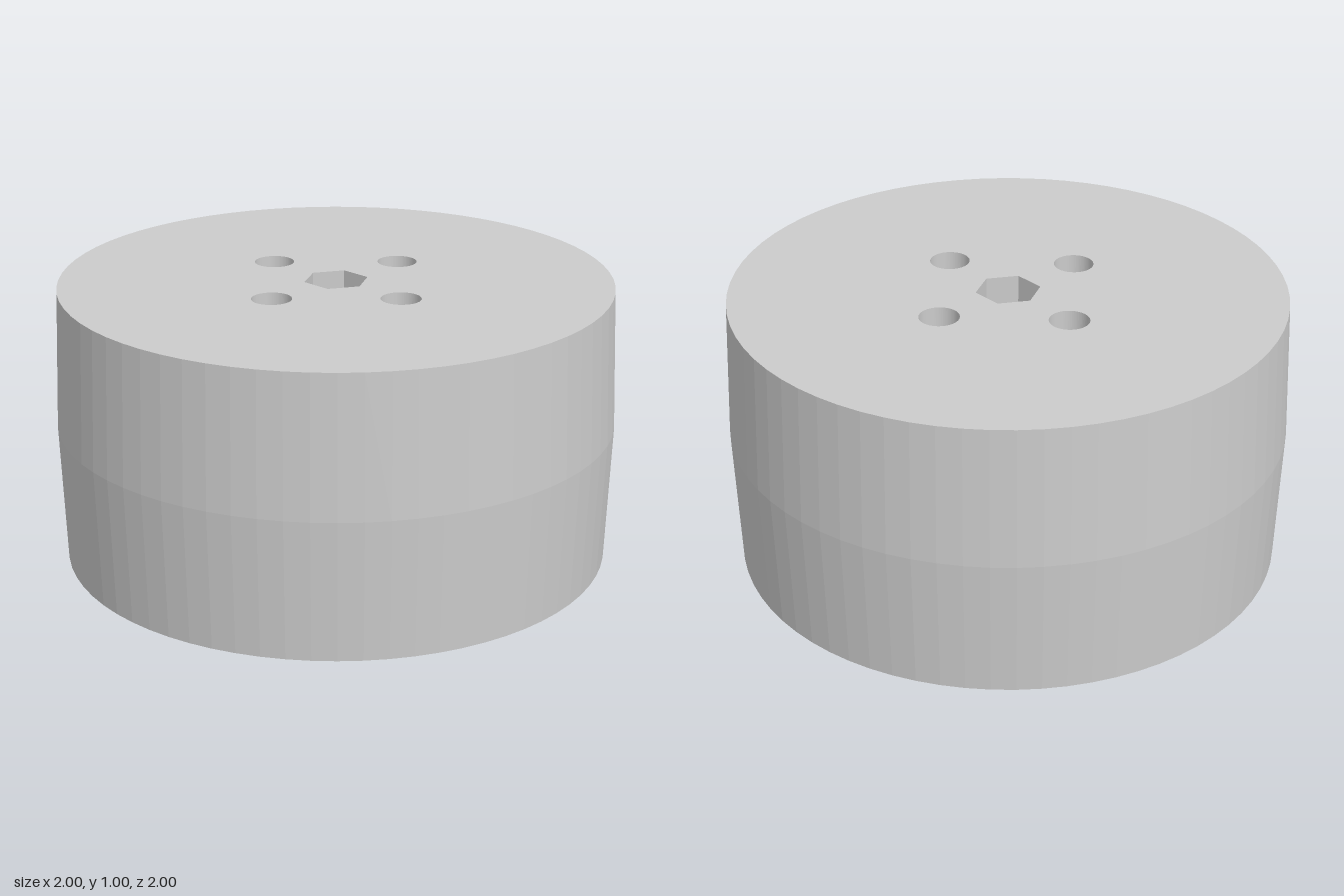
import * as THREE from 'three';

const SEGMENTS = 72;
const HUB_RADIUS = 0.455, CAVITY_RADIUS = 0.675, CEILING = 0.88, CHAMFER = 0.018;

export function createModel() {
  const group = new THREE.Group();
  const material = new THREE.MeshStandardMaterial({ color: 0xcccccc, flatShading: true });
  const add = (name, geometry) => {
    const mesh = new THREE.Mesh(geometry, material);
    mesh.name = name;
    group.add(mesh);
    return mesh;
  };

  // Crowned rim, underside cavity, hub wall and top plate as one turned profile
  const coreRadius = HUB_RADIUS - CHAMFER;
  const profile = [
    [coreRadius, 0], [HUB_RADIUS, CHAMFER], [HUB_RADIUS, CEILING],
    [CAVITY_RADIUS, CEILING], [CAVITY_RADIUS, CHAMFER], [CAVITY_RADIUS + CHAMFER, 0],
    [0.982, 0], [1, 0.5], [0.982, 1], [coreRadius, 1],
  ].map(([r, y]) => new THREE.Vector2(r, y));
  add('crownedRim', new THREE.LatheGeometry(profile, SEGMENTS));

  // Hub core with a hexagonal bore and four round holes right through
  const core = new THREE.Shape().absarc(0, 0, coreRadius, 0, Math.PI * 2);
  const hex = [];
  for (let i = 0; i < 6; i++) {
    const a = Math.PI / 6 + i * Math.PI / 3;
    hex.push(new THREE.Vector2(Math.cos(a) * 0.1155, Math.sin(a) * 0.1155));
  }
  core.holes.push(new THREE.Path(hex));
  for (let i = 0; i < 4; i++) {
    const a = i * Math.PI / 2;
    core.holes.push(new THREE.Path().absarc(Math.cos(a) * 0.315, Math.sin(a) * 0.315, 0.071, 0, Math.PI * 2));
  }
  const coreGeometry = new THREE.ExtrudeGeometry(core, { depth: 1, bevelEnabled: false, curveSegments: SEGMENTS / 2 });
  add('hubCore', coreGeometry.rotateX(-Math.PI / 2));

  // Recessed ribs joining the hub to the rim
  const ribBottom = 0.28, inner = HUB_RADIUS - 0.01, outer = CAVITY_RADIUS + 0.01;
  for (let i = 0; i < 3; i++) {
    const rib = new THREE.BoxGeometry(0.065, CEILING - ribBottom + 0.01, outer - inner);
    rib.translate(0, (CEILING + 0.01 + ribBottom) / 2, (inner + outer) / 2);
    add('rib', rib).rotation.y = i * Math.PI * 2 / 3;
  }
  return group;
}
